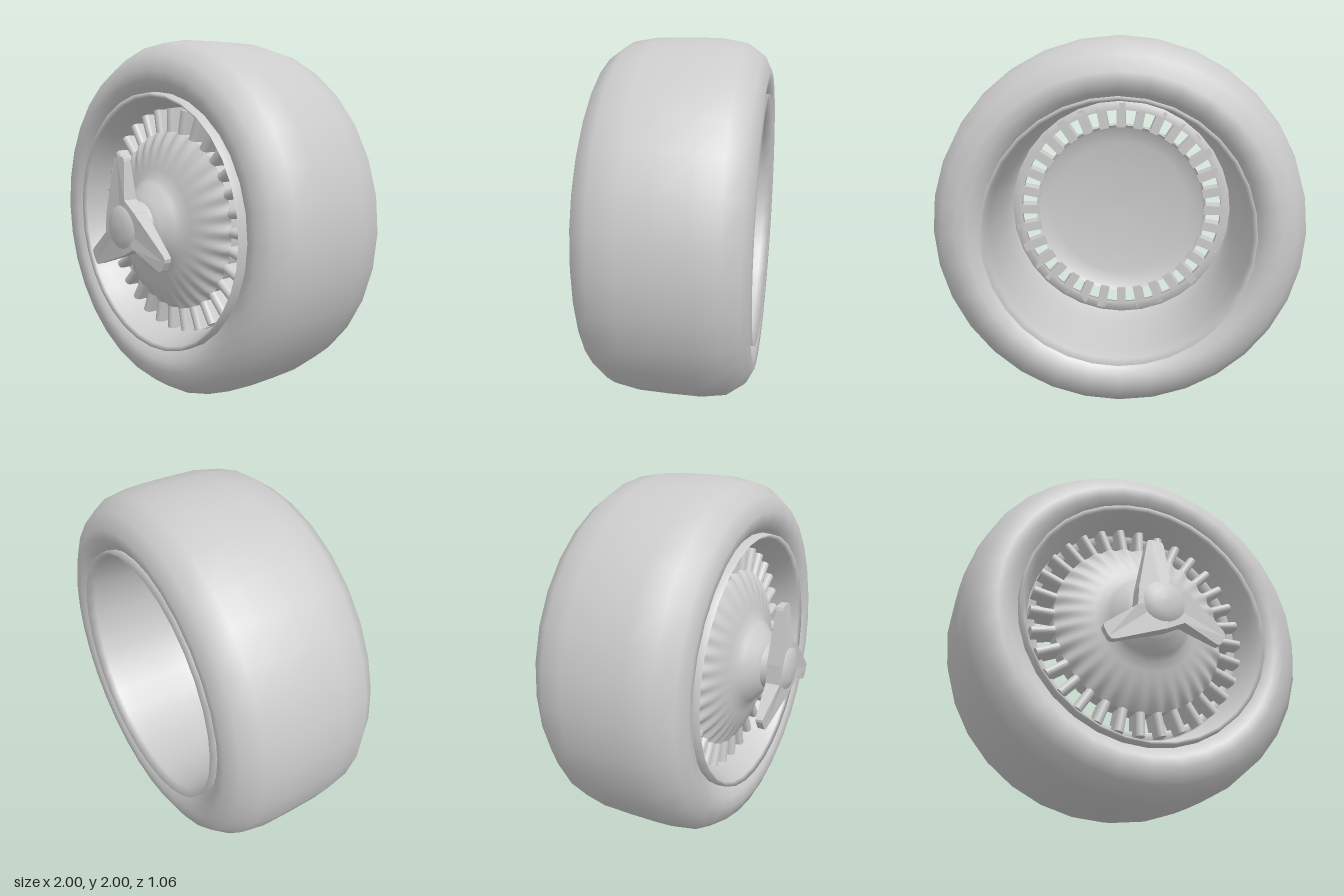
import * as THREE from 'three';

const material = new THREE.MeshStandardMaterial({ color: 0xcccccc, side: THREE.DoubleSide });

function add(parent, name, geometry) {
  const mesh = new THREE.Mesh(geometry, material);
  mesh.name = name;
  parent.add(mesh);
  return mesh;
}

// Lathe around the z axle; points are [radius, z]
function turned(points, segments) {
  const pts = points.map(([r, z]) => new THREE.Vector2(r, z));
  return new THREE.LatheGeometry(pts, segments).rotateX(Math.PI / 2);
}

// Pressed ripples that fade toward the hub
function flute(geometry, count) {
  const p = geometry.attributes.position;
  for (let i = 0; i < p.count; i++) {
    const x = p.getX(i), y = p.getY(i), r = Math.hypot(x, y);
    const fade = THREE.MathUtils.clamp((r - 0.32) / 0.18, 0, 1) ** 2;
    const wave = Math.cos(count * Math.atan2(y, x)) - 1;
    p.setZ(i, p.getZ(i) + 0.012 * fade * wave);
  }
  geometry.computeVertexNormals();
  return geometry;
}

export function createModel() {
  const wheel = new THREE.Group();
  wheel.name = 'wheel';
  wheel.position.y = 1;
  const SIDES = 32, SPOKES = 32;

  // Tire shell, curling in behind the rim lips
  add(wheel, 'tire', turned([
    [0.7, -0.46], [0.73, -0.5], [0.775, -0.525], [0.83, -0.53], [0.91, -0.49], [0.975, -0.40],
    [0.998, -0.27], [1, -0.1], [0.998, 0.07], [0.975, 0.21], [0.91, 0.30],
    [0.83, 0.33], [0.775, 0.32], [0.735, 0.29], [0.7, 0.25],
  ], SIDES));

  // Rim with lips flush with the sidewalls, open to the back
  add(wheel, 'rim', turned([
    [0.715, 0.27], [0.71, 0.325], [0.69, 0.305], [0.67, 0.25], [0.65, 0.18], [0.635, 0.11],
  ], SIDES));
  add(wheel, 'rimBarrel', turned([
    [0.64, 0.07], [0.655, 0.04], [0.668, -0.05], [0.675, -0.2], [0.68, -0.4], [0.688, -0.48],
    [0.705, -0.527], [0.71, -0.48],
  ], SIDES));

  // Outer band holding the spokes
  add(wheel, 'spokeRing', turned([
    [0.588, 0.07], [0.645, 0.07], [0.645, 0.11], [0.588, 0.11], [0.588, 0.07],
  ], 64));

  // Fluted disc rising to the hub
  const disc = new THREE.Group();
  disc.name = 'disc';
  wheel.add(disc);
  add(disc, 'discFace', flute(turned([
    [0.5, 0.19], [0.47, 0.21], [0.42, 0.235], [0.36, 0.258], [0.3, 0.275],
    [0.25, 0.29], [0.225, 0.318], [0.195, 0.345], [0.16, 0.372], [0.135, 0.39], [0.12, 0.392],
  ], SPOKES * 8), SPOKES));
  add(disc, 'discEdge', turned([[0.5, 0.07], [0.5, 0.17]], 64));
  add(disc, 'discBack', turned([[0, 0.14], [0.2, 0.135], [0.4, 0.115], [0.48, 0.09], [0.5, 0.07]], 64));

  // Round-fronted spokes
  const section = new THREE.Shape();
  section.moveTo(-0.026, -0.07);
  section.lineTo(0.026, -0.07);
  section.lineTo(0.026, -0.165);
  section.absarc(0, -0.165, 0.026, 0, -Math.PI, true);
  section.closePath();
  const spokeGeometry = new THREE.ExtrudeGeometry(section, { depth: 0.14, bevelEnabled: false, curveSegments: 6 });
  // Section plane turns to x and z; the length runs along the radius
  spokeGeometry.rotateX(-Math.PI / 2).translate(0, 0.488, 0);
  for (let i = 0; i < SPOKES; i++) {
    add(wheel, 'spoke', spokeGeometry).rotation.z = (i * 2 * Math.PI) / SPOKES;
  }

  // Neck and central nut
  add(wheel, 'hubNeck', turned([[0.135, 0.38], [0.128, 0.41], [0.128, 0.45]], 32));
  add(wheel, 'hubNut', turned([
    [0.13, 0.49], [0.115, 0.512], [0.065, 0.53], [0, 0.532],
  ], 24));

  // Three swept blades, thinner toward the tips
  const outline = new THREE.Shape([
    [0, 0], [0.125, 0.09], [0.08, 0.12], [0.035, 0.15], [0.012, 0.35], [0.006, 0.368], [-0.008, 0.375],
    [-0.06, 0.375], [-0.078, 0.368], [-0.086, 0.35], [-0.14, 0.063],
  ].map(([x, y]) => new THREE.Vector2(x, y)));
  const blade = new THREE.ExtrudeGeometry(outline, { depth: 2, bevelEnabled: false });
  const p = blade.attributes.position;
  for (let i = 0; i < p.count; i++) {
    const r = Math.hypot(p.getX(i), p.getY(i));
    const half = THREE.MathUtils.mapLinear(Math.max(r, 0.15), 0.15, 0.37, 0.04, 0.02);
    p.setZ(i, 0.472 + (p.getZ(i) - 1) * half);
  }
  blade.computeVertexNormals();
  for (let i = 0; i < 3; i++) {
    add(wheel, 'spinnerBlade', blade).rotation.z = (i * 2 * Math.PI) / 3;
  }

  const model = new THREE.Group();
  model.add(wheel);
  return model;
}
